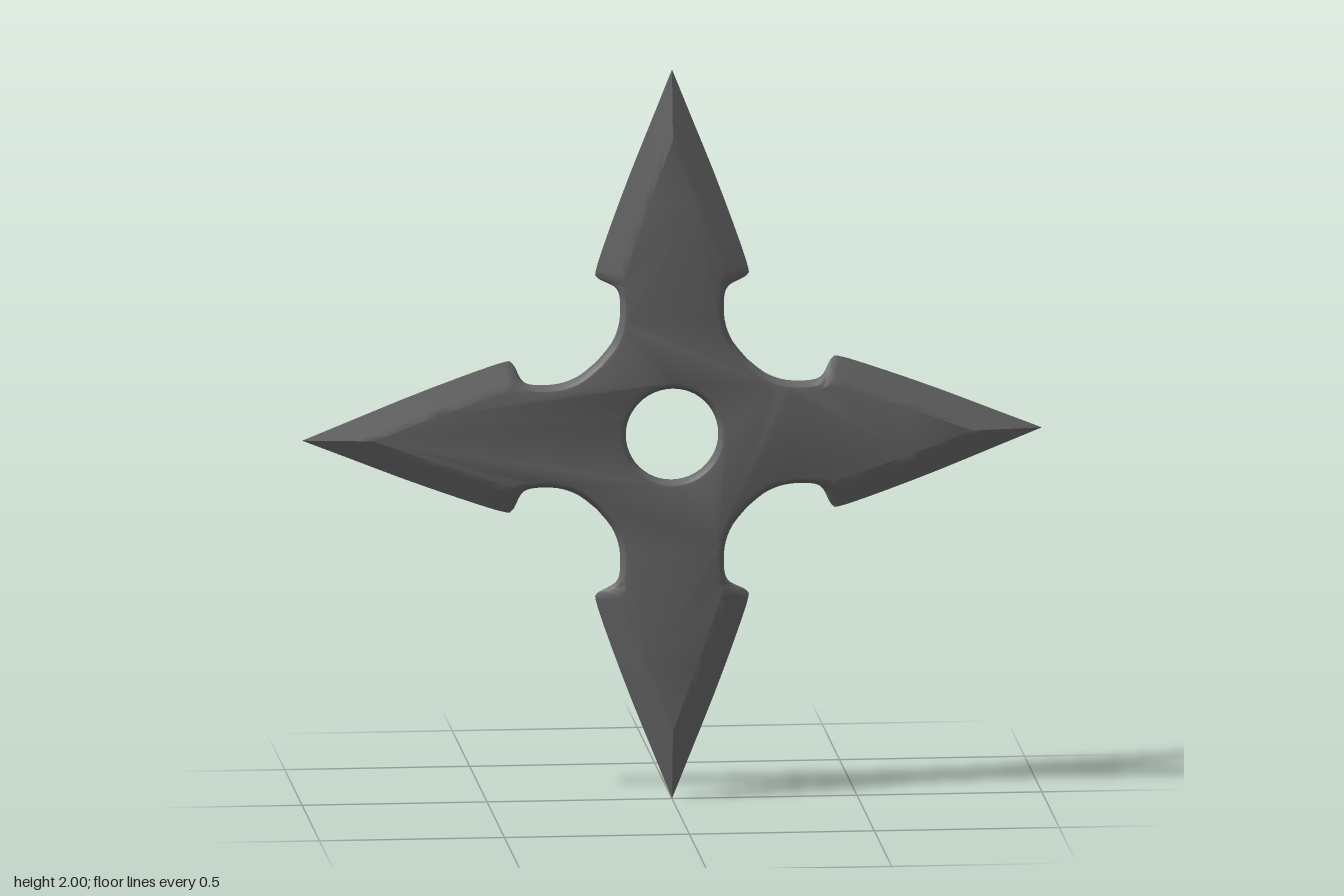
import * as THREE from 'three';
import { mergeGeometries, toCreasedNormals } from 'three/addons/utils/BufferGeometryUtils.js';

const HALF = 0.028; // half thickness

// Half an arm, tip to inner corner: [edge x, edge y, flat-face x, flat-face y]
const BLADE = [
  [0, 1, 0, 0.81], [0.056, 0.86, 0.032, 0.725], [0.112, 0.72, 0.065, 0.635],
  [0.164, 0.58, 0.1, 0.535], [0.2, 0.475, 0.127, 0.457], [0.208, 0.44, 0.132, 0.438],
];
const NECK = [
  [0.208, 0.44, 0.132, 0.438], [0.195, 0.427, 0.129, 0.418], [0.157, 0.408, 0.122, 0.4],
  [0.143, 0.385, 0.12, 0.38], [0.14, 0.34, 0.118, 0.335], [0.146, 0.295, 0.125, 0.285],
  [0.165, 0.25, 0.146, 0.236], [0.203, 0.203, 0.187, 0.187],
];

// Smooth one pair of columns into a list of points
function smooth(rows, col, n) {
  const spline = new THREE.SplineCurve(rows.map(r => new THREE.Vector2(r[col], r[col + 1])));
  return Array.from({ length: n + 1 }, (_, i) => spline.getPoint(i / n));
}

// Full clockwise outline: half arm, mirrored over the diagonal, turned four times
function outline(col) {
  const half = [...smooth(BLADE, col, 10).slice(0, -1), ...smooth(NECK, col, 21)];
  const mirrored = half.slice(1, -1).reverse().map(p => new THREE.Vector2(p.y, p.x));
  const quarter = [...half, ...mirrored];
  const loop = [];
  for (let k = 0; k < 4; k++) {
    for (const p of quarter) loop.push(p.clone().rotateAround(new THREE.Vector2(), -k * Math.PI / 2));
  }
  return loop;
}

// Anticlockwise circle for the hole
function circle(r, n = 48) {
  return Array.from({ length: n }, (_, i) => {
    const a = i / n * Math.PI * 2;
    return new THREE.Vector2(Math.cos(a) * r, Math.sin(a) * r);
  });
}

// Wall from the front face, over the edge, to the back face.
// Blades get a straight bevel; narrow bevels (neck and hole) are rounded.
function wall(edge, face) {
  const steps = 4, rings = [];
  for (let s = -steps; s <= steps; s++) {
    const t = Math.abs(s) / steps;
    rings.push(edge.map((e, i) => {
      const f = face[i];
      const round = 1 - THREE.MathUtils.smoothstep(e.distanceTo(f), 0.025, 0.06);
      const a = t * Math.PI / 2;
      const inward = THREE.MathUtils.lerp(t, 1 - Math.cos(a), round);
      const depth = THREE.MathUtils.lerp(t, Math.sin(a), round);
      const p = e.clone().lerp(f, inward);
      return [p.x, p.y, -Math.sign(s) * depth * HALF];
    }));
  }
  const pos = [], n = edge.length;
  for (let k = 0; k < rings.length - 1; k++) {
    for (let i = 0; i < n; i++) {
      const j = (i + 1) % n;
      const a = rings[k][i], b = rings[k][j], c = rings[k + 1][j], d = rings[k + 1][i];
      pos.push(...a, ...b, ...c, ...a, ...c, ...d);
    }
  }
  const g = new THREE.BufferGeometry();
  g.setAttribute('position', new THREE.Float32BufferAttribute(pos, 3));
  return g;
}

// Flat face with the hole cut out
function flatFace(outer, hole) {
  const shape = new THREE.Shape(outer);
  shape.holes.push(new THREE.Path(hole));
  const g = new THREE.ShapeGeometry(shape).toNonIndexed();
  g.deleteAttribute('uv');
  g.deleteAttribute('normal');
  return g.translate(0, 0, HALF);
}

export function createModel() {
  const steel = new THREE.MeshStandardMaterial({ color: 0x6a6a6a });
  steel.name = 'dark steel';

  const edge = outline(0), face = outline(2);
  const holeEdge = circle(0.125), holeFace = circle(0.145);
  const front = flatFace(face, holeFace);
  const back = front.clone().rotateY(Math.PI);

  const body = mergeGeometries([front, back, wall(edge, face), wall(holeEdge, holeFace)]);
  const star = new THREE.Mesh(toCreasedNormals(body, 0.39), steel);
  star.name = 'throwingStar';
  star.position.y = 1;

  const group = new THREE.Group();
  group.name = 'fourPointedStar';
  group.add(star);
  return group;
}
